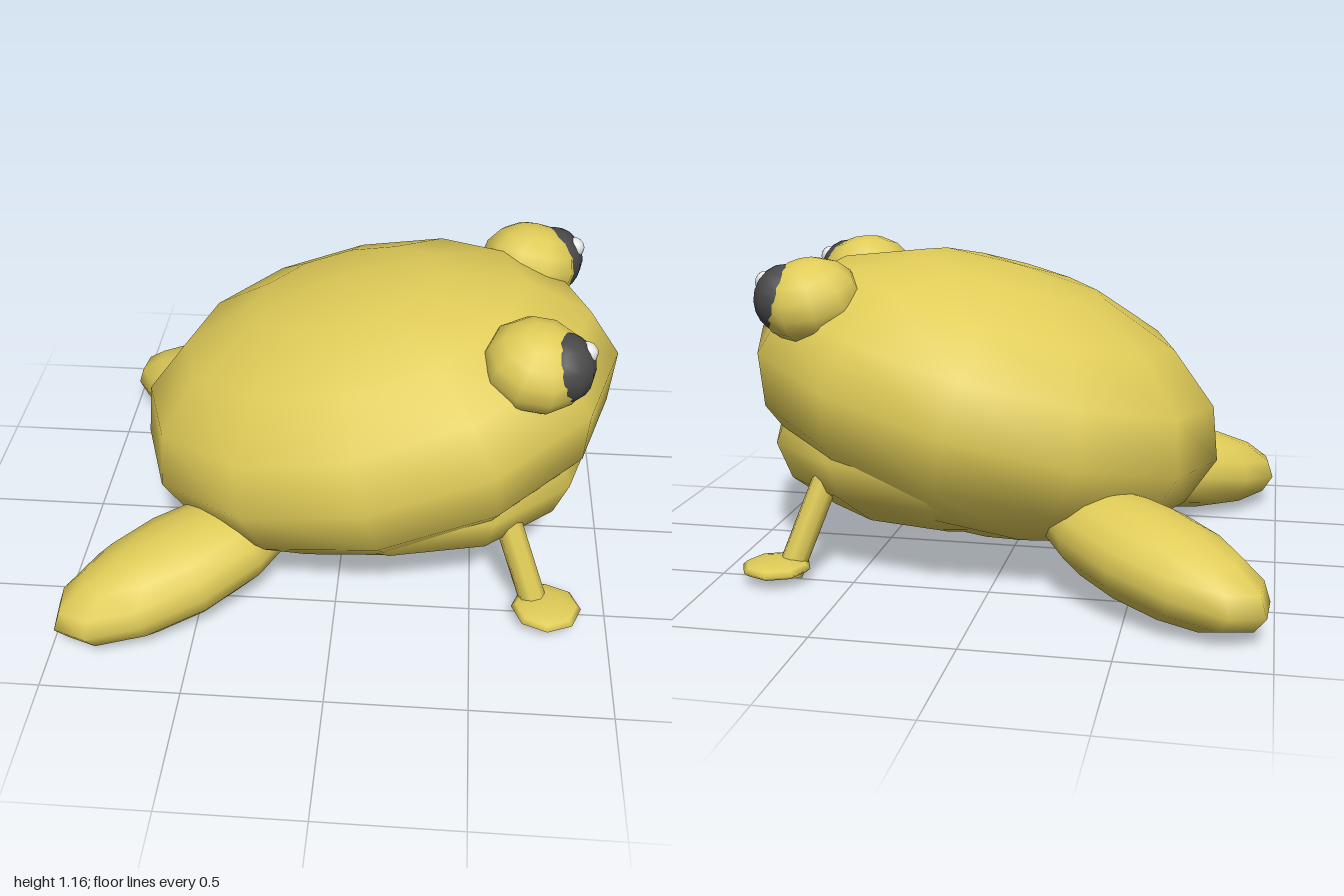
import * as THREE from 'three';

const skin = new THREE.MeshStandardMaterial({ color: 0xe0cc58 });
skin.name = 'yellow skin';
const dark = new THREE.MeshStandardMaterial({ color: 0x484848 });
dark.name = 'dark pupil';
const white = new THREE.MeshStandardMaterial({ color: 0xf0f0f0 });
white.name = 'white glint';

// Stretched low-poly ball; rotation order keeps tilt (z) before turn (y)
function ball(name, material, center, radii, rotation = [0, 0, 0], sides = 12, rings = 8) {
  const mesh = new THREE.Mesh(new THREE.SphereGeometry(1, sides, rings), material);
  mesh.name = name;
  mesh.position.set(...center);
  mesh.scale.set(...radii);
  mesh.rotation.set(...rotation, 'YZX');
  return mesh;
}

// Straight round limb between two points
function limb(name, material, from, to, radius) {
  const a = new THREE.Vector3(...from);
  const b = new THREE.Vector3(...to);
  const mesh = new THREE.Mesh(
    new THREE.CylinderGeometry(radius, radius, a.distanceTo(b), 8), material);
  mesh.name = name;
  mesh.position.copy(a).add(b).multiplyScalar(0.5);
  mesh.quaternion.setFromUnitVectors(new THREE.Vector3(0, 1, 0), b.sub(a).normalize());
  return mesh;
}

export function createModel() {
  const frog = new THREE.Group();
  frog.name = 'frog';

  // Tilted body and the flatter lower jaw, head toward +x
  frog.add(ball('body', skin, [0.115, 0.615, 0], [0.913, 0.508, 0.74], [0, 0, 0.249]));
  frog.add(ball('lowerJaw', skin, [0.2, 0.46, 0], [0.74, 0.36, 0.64]));

  for (const s of [1, -1]) {
    // Bulging eye, pupil and glint
    const eye = new THREE.Group();
    eye.name = 'eye';
    eye.add(ball('eyeBulge', skin, [0.675, 1.005, 0.355 * s], [0.187, 0.153, 0.178],
      [0.3 * s, 0, -0.15], 10, 8));
    eye.add(ball('pupil', dark, [0.762, 1.012, 0.375 * s], [0.115, 0.125, 0.122],
      [0, 0, 0], 12, 10));
    eye.add(ball('glint', white, [0.838, 1.07, 0.367 * s], [0.04, 0.04, 0.04],
      [0, 0, 0], 10, 8));
    frog.add(eye);

    // Folded hind leg, splayed backward and outward
    frog.add(ball('hindLeg', skin, [-0.57, 0.2, 0.56 * s], [0.5, 0.17, 0.22],
      [0, 0.61 * s, 0.175]));

    // Front leg with a flat round foot
    const frontLeg = new THREE.Group();
    frontLeg.name = 'frontLeg';
    frontLeg.add(limb('shin', skin, [0.745, 0.02, 0.492 * s], [0.59, 0.45, 0.39 * s], 0.05));
    frontLeg.add(ball('foot', skin, [0.78, 0.055, 0.53 * s], [0.128, 0.03, 0.128],
      [0, 0, 0], 8, 6));
    frog.add(frontLeg);
  }
  return frog;
}
